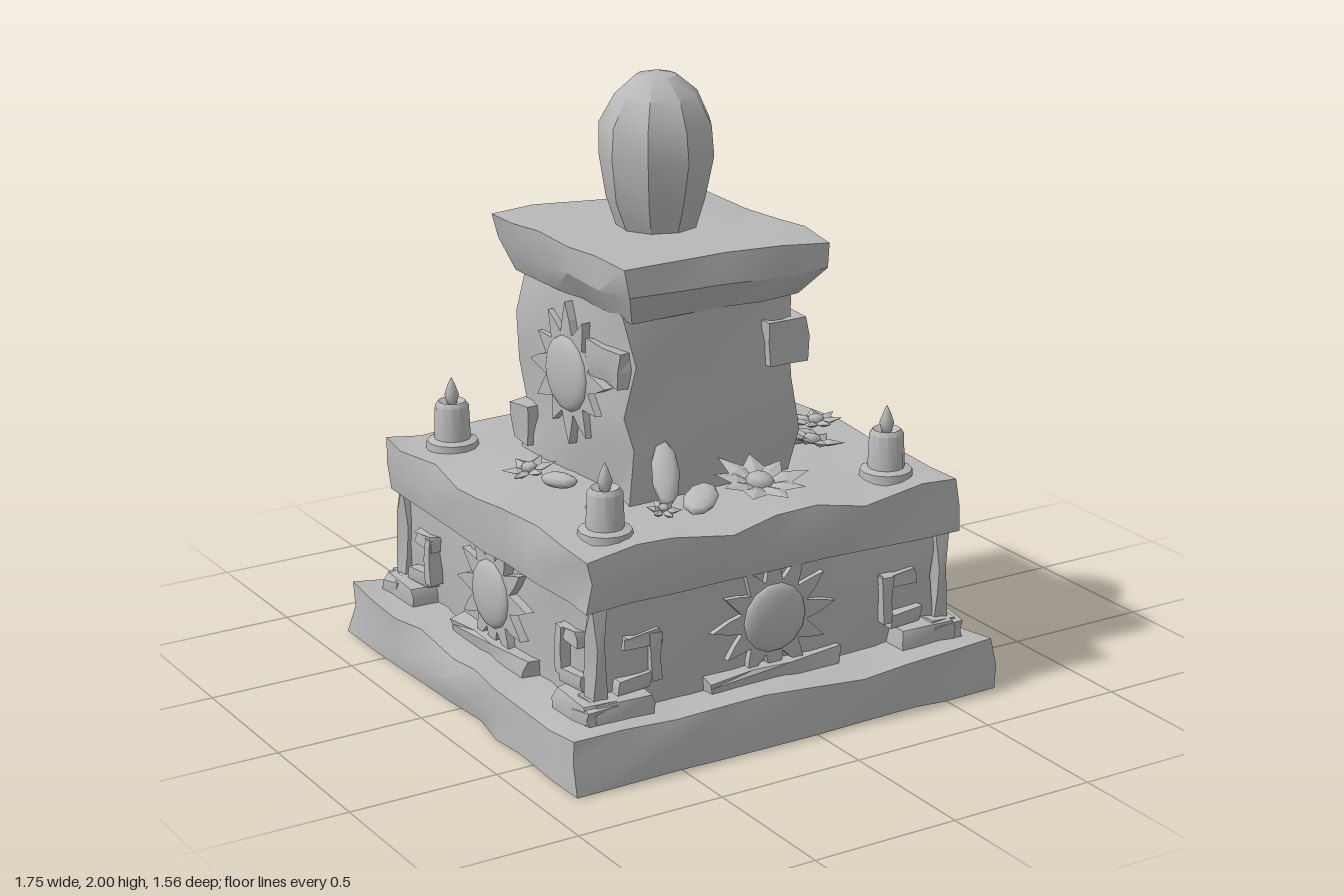
import * as THREE from 'three';
import { toCreasedNormals, mergeVertices } from 'three/addons/utils/BufferGeometryUtils.js';

const stone = new THREE.MeshStandardMaterial({ color: 0xb8b8b8 });
stone.name = 'grey stone';

// repeatable noise from a position
function hash(x, y, z, k) {
  const s = Math.sin(x * 127.1 + y * 311.7 + z * 74.7 + k * 53.3) * 43758.5453;
  return s - Math.floor(s);
}

function mesh(name, geo, parent, x = 0, y = 0, z = 0) {
  const m = new THREE.Mesh(geo, stone);
  m.name = name;
  m.position.set(x, y, z);
  parent.add(m);
  return m;
}

// weathered block: a subdivided box worn inwards, most on its edges
function rockGeo(w, h, d, wear = 0.012, cell = 0.17, taper = () => 1) {
  const n = s => Math.max(1, Math.round(s / cell));
  const g = new THREE.BoxGeometry(w, h, d, n(w), Math.max(2, n(h)), n(d));
  const p = g.attributes.position;
  for (let i = 0; i < p.count; i++) {
    const v = [p.getX(i), p.getY(i), p.getZ(i)].map(c => Math.round(c * 1000) / 1000);
    const half = [w / 2, h / 2, d / 2];
    const onFace = half.map((s, k) => Math.abs(Math.abs(v[k]) - s) < 0.002);
    const edge = onFace.filter(Boolean).length > 1;
    const out = v.map((c, k) => {
      const r = hash(...v, k + w * 10);
      if (!onFace[k]) return c + (r - 0.5) * cell * 0.45 * (half[k] > cell ? 1 : 0.3);
      if (k === 1 && c < 0) return c;
      return c - Math.sign(c) * r * r * wear * (edge ? 2.2 : 1);
    });
    const t = taper(v[1] / h + 0.5);
    p.setXYZ(i, out[0] * t, out[1], out[2] * t);
  }
  return toCreasedNormals(g, 0.6);
}
function rock(name, parent, x0, x1, y0, y1, z0, z1, wear, cell, taper) {
  return mesh(name, rockGeo(x1 - x0, y1 - y0, z1 - z0, wear, cell, taper), parent,
    (x0 + x1) / 2, (y0 + y1) / 2, (z0 + z1) / 2);
}

// carved sun facing local +z
function sun(parent, y, z, disc, reach) {
  const g = new THREE.Group();
  g.name = 'sunRelief';
  g.position.set(0, y, z);
  const shape = new THREE.Shape();
  const rays = 12;
  for (let i = 0; i < rays; i++) {
    const a = (i / rays) * Math.PI * 2;
    const tip = reach * (i % 3 === 0 ? 1 : 0.86 + 0.12 * hash(i, y, z, 1));
    const at = (r, b) => [Math.cos(b) * r, Math.sin(b) * r];
    if (i === 0) shape.moveTo(...at(disc * 1.08, a - 0.25));
    else shape.lineTo(...at(disc * 1.08, a - 0.25));
    shape.lineTo(...at((disc + tip) / 2, a - 0.1));
    shape.lineTo(...at(tip, a + 0.04));
    shape.lineTo(...at((disc + tip) / 2, a + 0.14));
  }
  shape.closePath();
  mesh('sunRays', new THREE.ExtrudeGeometry(shape, { depth: 0.035, bevelEnabled: false }), g, 0, 0, -0.01);
  const dome = new THREE.SphereGeometry(disc, 14, 5, 0, Math.PI * 2, 0, Math.PI / 2);
  dome.rotateX(Math.PI / 2).scale(1, 1, 0.28);
  mesh('sunFace', dome, g, 0, 0, 0.024);
  parent.add(g);
}

// pointed petal lying along +z
function petalGeo(len, wide) {
  const g = new THREE.OctahedronGeometry(1, 0);
  g.scale(wide, 0.012, len / 2).translate(0, 0, len / 2);
  return g;
}
function flower(parent, x, y, z, r, petals, tiltX = 0, tiltZ = 0) {
  const g = new THREE.Group();
  g.name = 'flower';
  g.position.set(x, y, z);
  g.rotation.set(tiltX, 0, tiltZ);
  for (let i = 0; i < petals; i++) {
    const p = mesh('petal', petalGeo(r * (0.85 + 0.2 * hash(i, x, z, 2)), r * 0.25), g);
    p.rotation.set(-0.2, (i / petals) * Math.PI * 2, 0, 'YXZ');
  }
  mesh('flowerHeart', new THREE.SphereGeometry(r * 0.28, 7, 4).scale(1, 0.6, 1), g, 0, 0.015, 0);
  parent.add(g);
}
function leaf(parent, x, y, z, len, wide, turn, lift = 0) {
  const m = mesh('leaf', new THREE.SphereGeometry(1, 9, 6).scale(wide, 0.025, len), parent, x, y, z);
  m.rotation.set(-lift, turn, 0, 'YXZ');
}

function candle(parent, x, z) {
  const g = new THREE.Group();
  g.name = 'candle';
  g.position.set(x, 0.70, z);
  const pts = [[0, 0], [0.088, 0], [0.085, 0.03], [0.06, 0.038], [0.056, 0.15],
    [0.045, 0.165], [0.03, 0.155], [0, 0.15]];
  const wax = new THREE.LatheGeometry(pts.map(p => new THREE.Vector2(...p)), 12);
  mesh('candleWax', toCreasedNormals(wax, 0.6), g);
  const flame = [[0, 0], [0.016, 0.01], [0.024, 0.04], [0.012, 0.075], [0, 0.1]];
  mesh('flame', new THREE.LatheGeometry(flame.map(p => new THREE.Vector2(...p)), 6), g, 0, 0.145, 0);
  parent.add(g);
}

export function createModel() {
  const model = new THREE.Group();
  model.name = 'stoneShrine';

  // stacked masonry
  rock('basePlinth', model, -0.88, 0.70, 0, 0.175, -0.78, 0.78, 0.014);
  rock('lowerBody', model, -0.72, 0.56, 0.16, 0.56, -0.63, 0.63, 0.02);
  rock('altarSlab', model, -0.78, 0.615, 0.53, 0.715, -0.675, 0.67, 0.014);
  rock('pillar', model, -0.435, 0.205, 0.70, 1.36, -0.36, 0.35, 0.02);
  rock('capSlab', model, -0.485, 0.272, 1.31, 1.505, -0.43, 0.425, 0.012, 0.17,
    t => (t < 0.25 ? 0.86 : 1));

  // faceted egg on the cap
  const eggPts = [[0, -0.02], [0.12, -0.02], [0.165, 0.1], [0.186, 0.24], [0.178, 0.34], [0.135, 0.43], [0.065, 0.49], [0, 0.505]];
  const egg = new THREE.LatheGeometry(eggPts.map(p => new THREE.Vector2(...p)), 9);
  egg.deleteAttribute('normal');
  egg.deleteAttribute('uv');
  const welded = mergeVertices(egg, 0.001);
  const ep = welded.attributes.position;
  for (let i = 0; i < ep.count; i++) {
    const s = 0.97 + 0.07 * hash(ep.getX(i), ep.getY(i), ep.getZ(i), 4);
    ep.setXYZ(i, ep.getX(i) * s, ep.getY(i), ep.getZ(i) * s);
  }
  mesh('egg', toCreasedNormals(welded, 0.5), model, -0.105, 1.495, -0.015);

  // stairs on the left side
  rock('upperStep', model, 0.55, 0.775, 0, 0.30, -0.275, 0.27, 0.02, 0.14);
  rock('lowerStep', model, 0.68, 0.872, 0, 0.135, -0.28, 0.275, 0.016, 0.14);

  // carved reliefs on the four sides of the lower body
  for (let i = 0; i < 4; i++) {
    const side = new THREE.Group();
    side.name = 'lowerSide';
    side.position.x = -0.08;
    side.rotation.y = (i * Math.PI) / 2;
    const d = i % 2 ? 0.635 : 0.62;
    sun(side, 0.37, d, 0.115, 0.23);
    rock('sunLedge', side, -0.25, 0.25, 0.16, 0.225, d - 0.03, d + 0.05, 0.01);
    for (const s of [-1, 1]) {
      const bar = (name, u, y, w, h, out) =>
        mesh(name, rockGeo(w, h, 0.05 + out, 0.008, 0.1), side, s * u, y, d - 0.05 + (0.05 + out) / 2);
      bar('carvedHook', 0.48, 0.40, 0.14, 0.055, 0.025);
      bar('carvedHook', 0.435, 0.335, 0.045, 0.16, 0.03);
      bar('carvedHook', 0.51, 0.265, 0.13, 0.06, 0.03);
      bar('footBlock', 0.57, 0.20, 0.22, 0.08, 0.07);
    }
    model.add(side);
  }
  for (const x of [-0.715, 0.565]) for (const z of [-0.625, 0.625]) {
    rock('cornerPost', model, x - 0.03, x + 0.03, 0.16, 0.55, z - 0.03, z + 0.03, 0.01, 0.12);
    const sx = Math.sign(x), sz = Math.sign(z);
    rock('cornerFoot', model, x - 0.06 + sx * 0.01, x + 0.06 + sx * 0.01, 0.16, 0.23,
      z - 0.06 + sz * 0.01, z + 0.06 + sz * 0.01, 0.01, 0.12);
  }

  // upper suns and loose bricks on the pillar
  for (const s of [-1, 1]) {
    const side = new THREE.Group();
    side.name = 'upperSide';
    side.position.x = -0.115;
    side.rotation.y = (s * Math.PI) / 2;
    sun(side, 1.06, 0.312, 0.125, 0.235);
    model.add(side);
  }
  rock('cornerBrick', model, 0.07, 0.23, 1.09, 1.24, 0.26, 0.37, 0.01, 0.1);
  rock('cornerBrick', model, -0.455, -0.36, 1.09, 1.21, 0.12, 0.33, 0.01, 0.1);
  rock('cornerBrick', model, 0.12, 0.235, 0.95, 1.08, -0.375, -0.27, 0.01, 0.1);
  rock('cornerBrick', model, -0.455, -0.34, 0.74, 0.88, -0.375, -0.26, 0.01, 0.1);
  mesh('roundBoss', new THREE.SphereGeometry(0.06, 10, 6).scale(1, 1, 0.4), model, -0.1, 1.08, -0.355);

  // candles on the slab corners
  for (const x of [-0.615, 0.432]) for (const z of [-0.478, 0.512]) candle(model, x, z);

  // offerings of flowers and leaves
  flower(model, -0.04, 0.755, 0.49, 0.17, 9, 0.15);
  flower(model, -0.11, 0.755, -0.52, 0.20, 7, -0.12);
  flower(model, 0.38, 0.75, -0.07, 0.11, 6, 0, -0.2);
  flower(model, 0.48, 0.74, 0.04, 0.10, 7, 0, 0.05);
  flower(model, 0.32, 0.76, 0.25, 0.11, 6, 0, -0.25);
  flower(model, 0.28, 0.76, -0.32, 0.09, 6, 0, -0.25);
  flower(model, -0.58, 0.75, -0.02, 0.095, 6, 0, 0.2);
  flower(model, -0.40, 0.74, 0.50, 0.06, 6, 0.2);
  leaf(model, -0.27, 0.76, 0.51, 0.09, 0.055, -0.8, -0.2);
  leaf(model, -0.33, 0.82, 0.40, 0.11, 0.045, 2.7, 0.9);
  leaf(model, 0.13, 0.75, -0.51, 0.11, 0.05, 2.3, 0.1);
  leaf(model, 0.36, 0.78, -0.27, 0.09, 0.055, -0.5, 0.2);
  leaf(model, 0.25, 0.79, 0.10, 0.08, 0.04, 0.3, 0.3);
  leaf(model, 0.35, 0.74, 0.12, 0.07, 0.035, 1.0, 0.1);
  leaf(model, -0.53, 0.74, 0.08, 0.075, 0.035, 0.3, 0.1);
  leaf(model, -0.52, 0.725, 0.32, 0.05, 0.015, 1.2, 0);
  return model;
}
